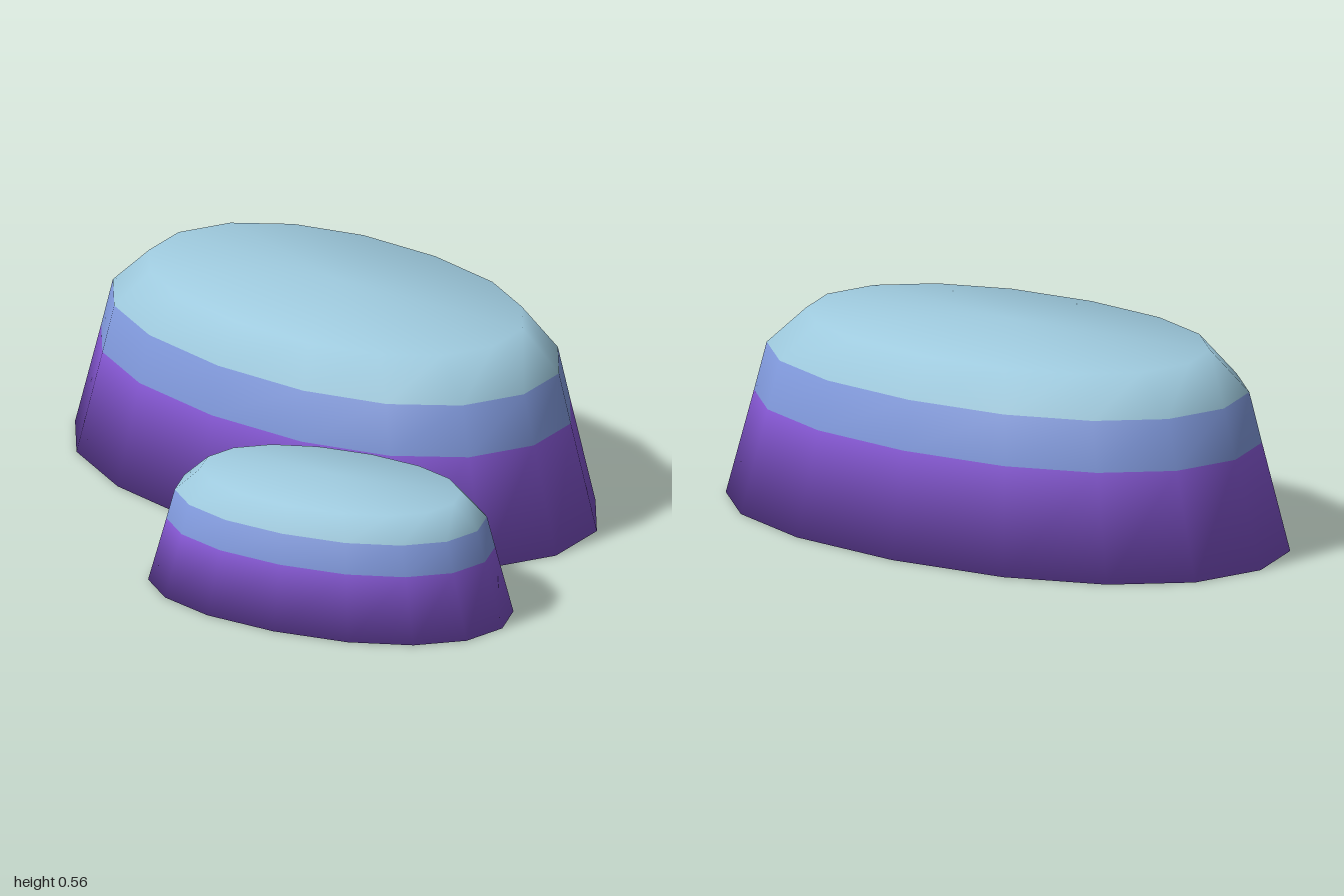
import * as THREE from 'three';

const mat = (name, color) => Object.assign(new THREE.MeshStandardMaterial({ color }), { name });

const SEGMENTS = 16;
const RX = 0.845, RZ = 0.51;
// rings of the mound from the ground up: [height, scale of the footprint]
const RINGS = [[0, 1], [0.29, 0.9], [0.425, 0.855], [0.53, 0.716]];
const PEAK = 0.56;

// slightly squared ellipse
const soften = (v) => Math.sign(v) * Math.pow(Math.abs(v), 0.93);

function moundGeometry() {
  const positions = [];
  for (const [y, s] of RINGS) {
    for (let i = 0; i < SEGMENTS; i++) {
      const a = (i / SEGMENTS) * Math.PI * 2;
      positions.push(RX * s * soften(Math.cos(a)), y, RZ * s * soften(Math.sin(a)));
    }
  }
  const bottom = RINGS.length * SEGMENTS, top = bottom + 1;
  positions.push(0, 0, 0, 0, PEAK, 0);

  const geometry = new THREE.BufferGeometry();
  const index = [];
  const next = (i) => (i + 1) % SEGMENTS;
  const addPart = (material, build) => {
    const start = index.length;
    for (let i = 0; i < SEGMENTS; i++) index.push(...build(i));
    geometry.addGroup(start, index.length - start, material);
  };

  // underside
  addPart(0, (i) => [bottom, i, next(i)]);
  // purple base, blue band and pale shoulder
  for (let r = 0; r < RINGS.length - 1; r++) {
    const lo = r * SEGMENTS, hi = lo + SEGMENTS;
    addPart(r, (i) => [lo + i, hi + i, lo + next(i), lo + next(i), hi + i, hi + next(i)]);
  }
  // pale, gently peaked cap
  const rim = (RINGS.length - 1) * SEGMENTS;
  addPart(2, (i) => [rim + i, top, rim + next(i)]);

  geometry.setAttribute('position', new THREE.Float32BufferAttribute(positions, 3));
  geometry.setIndex(index);
  geometry.computeVertexNormals();
  return geometry;
}

export function createModel() {
  const group = new THREE.Group();
  group.name = 'mounds';
  const materials = [mat('purple', 0x8b5bdc), mat('blue', 0x8099dc), mat('paleBlue', 0xa0cce0)];
  const geometry = moundGeometry();

  const largeMound = new THREE.Mesh(geometry, materials);
  largeMound.name = 'largeMound';
  largeMound.position.set(-0.155, 0, -0.24);

  const smallMound = new THREE.Mesh(geometry, materials);
  smallMound.name = 'smallMound';
  smallMound.position.set(0.495, 0, 0.403);
  smallMound.rotation.y = 0.3;
  smallMound.scale.setScalar(0.617);

  group.add(largeMound, smallMound);
  return group;
}
